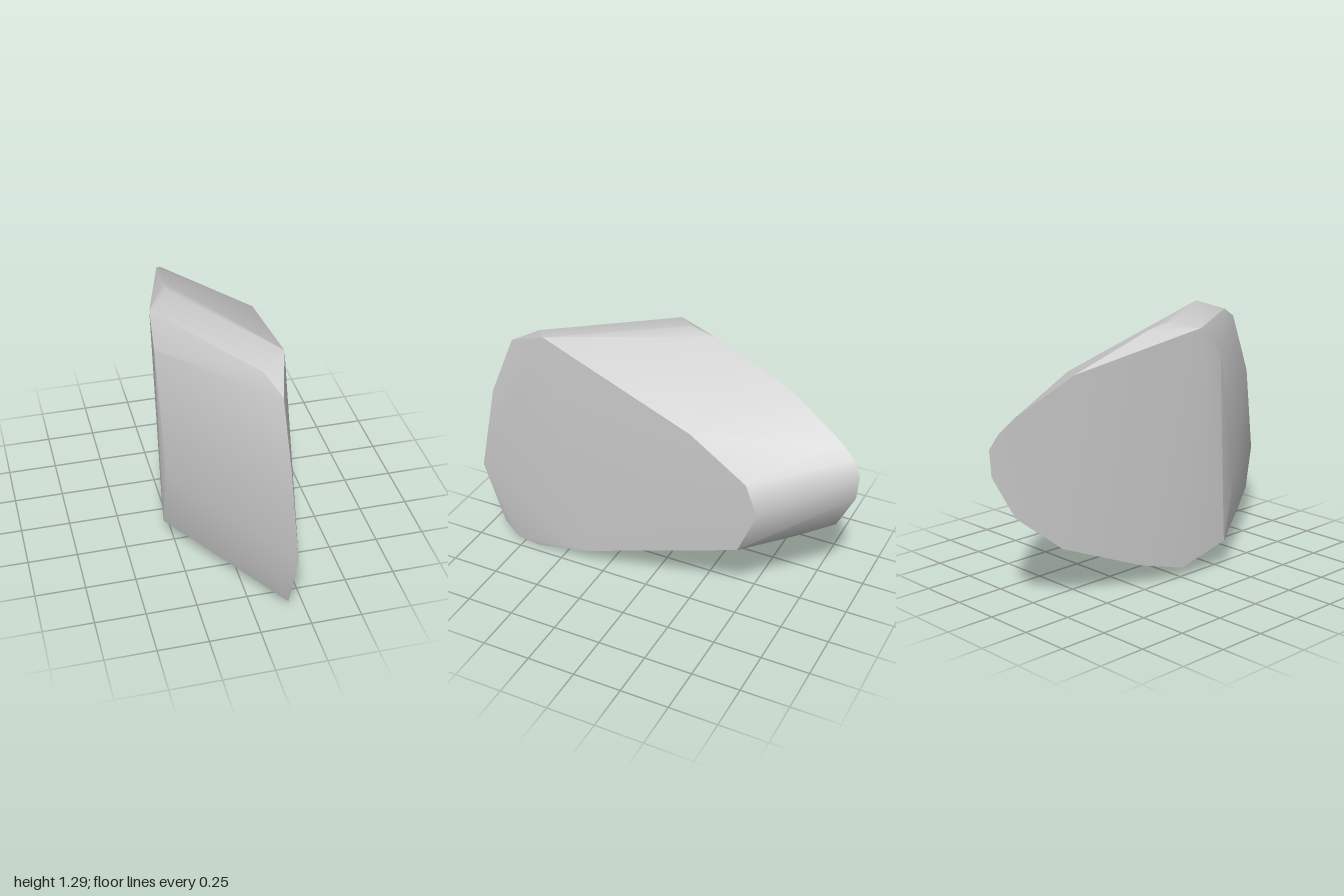
import * as THREE from 'three';
import { ConvexGeometry } from 'three/addons/geometries/ConvexGeometry.js';
import { toCreasedNormals } from 'three/addons/utils/BufferGeometryUtils.js';

// Corner rings of the two broad faces, as [x, y, z]
const leftFace = [
  [0.135, 1.18, 0.79], [0.2, 1.28, 0.57], [0.285, 1.01, -0.26], [0.312, 0.83, -0.56],
  [0.31, 0.67, -0.62], [0.295, 0.43, -0.52], [0.25, 0.1, 0.34], [0.205, 0, 0.66],
  [0.2, 0.01, 0.79], [0.165, 0.06, 0.89], [0.17, 0.4, 1], [0.145, 0.86, 0.92],
];
const rightFace = [
  [-0.31, 1.265, 0.07], [-0.2, 1.295, -0.04], [-0.19, 1.27, -0.16], [-0.14, 1.11, -0.59],
  [-0.06, 0.94, -0.89], [-0.04, 0.88, -0.96], [-0.02, 0.81, -1], [-0.02, 0.68, -0.99],
  [-0.06, 0.47, -0.89], [-0.12, 0.28, -0.66], [-0.22, 0.115, -0.24], [-0.26, 0.05, 0],
  [-0.17, 0.022, 0.13], [-0.305, 0.14, 0.26], [-0.3, 0.5, 0.34], [-0.318, 1.13, 0.2],
];
// Softened corners along the front edge
const frontCorners = [[0.08, 1.24, 0.66], [0.125, 0.19, 0.91]];

export function createModel() {
  const group = new THREE.Group();
  group.name = 'rock';
  const stone = new THREE.MeshStandardMaterial({ color: 0xcccccc });
  stone.name = 'light grey stone';

  // Faceted slab with softly rounded sides and sharp rims
  const points = [...leftFace, ...rightFace, ...frontCorners].map((p) => new THREE.Vector3(...p));
  const slab = new THREE.Mesh(toCreasedNormals(new ConvexGeometry(points), Math.PI / 5), stone);
  slab.name = 'stoneSlab';
  group.add(slab);
  return group;
}
